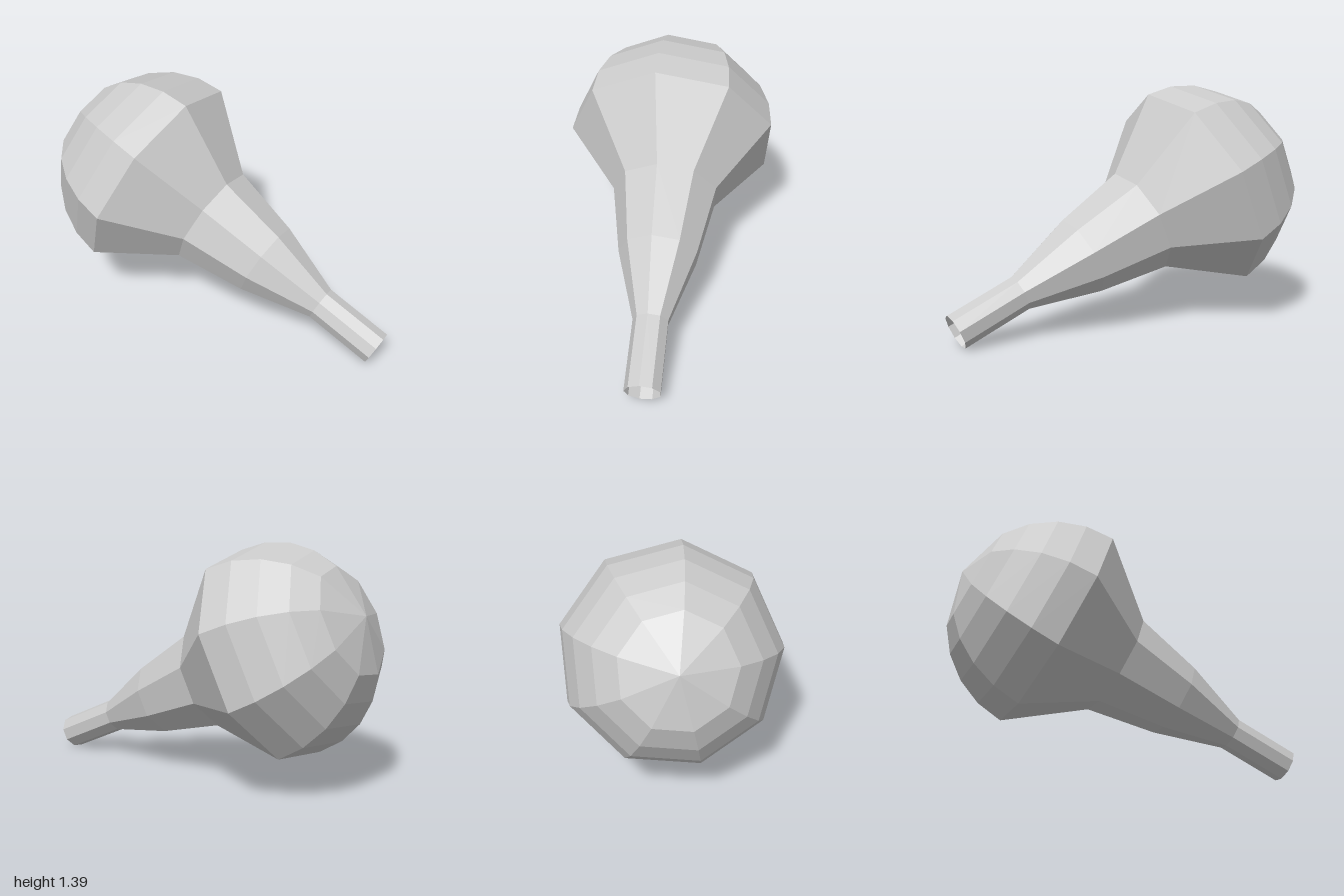
import * as THREE from 'three';

const SIDES = 9;
const BULB_RADIUS = 0.64;

// Nine-sided turned piece from [radius, height] pairs, with faceted normals
function turned(profile) {
  const points = profile.map(([r, h]) => new THREE.Vector2(r, h));
  const geometry = new THREE.LatheGeometry(points, SIDES).toNonIndexed();
  geometry.computeVertexNormals();
  return geometry;
}

export function createModel() {
  const model = new THREE.Group();
  model.name = 'bulbWithNeck';
  const material = new THREE.MeshStandardMaterial({
    color: 0xcccccc, flatShading: true, side: THREE.DoubleSide,
  });

  // The axis leans forward and down; one corner of each ring points along "spoke"
  const axis = new THREE.Vector3(0.484, -0.398, 0.781).normalize();
  const spoke = new THREE.Vector3(0.063, 0.582, 0.257);
  spoke.addScaledVector(axis, -spoke.dot(axis)).normalize();
  const side = new THREE.Vector3().crossVectors(axis, spoke);
  const placement = new THREE.Matrix4().makeBasis(side, axis, spoke)
    .setPosition(-0.143, 0.768, -0.367);

  // Rounded back: rings every 15 degrees, ending in a shallow cone at the pole
  const dome = [90, 60, 45, 30, 15, 0].map((deg) => {
    const a = THREE.MathUtils.degToRad(deg);
    return [deg === 90 ? 0 : BULB_RADIUS * Math.cos(a), -BULB_RADIUS * Math.sin(a)];
  });

  // Shoulder tapering into a thin neck, open at the tip
  const neck = [[BULB_RADIUS, 0], [0.32, 0.42], [0.237, 0.845], [0.104, 1.265], [0.104, 1.68]];

  for (const [name, profile] of [['roundedBulb', dome], ['taperedNeck', neck]]) {
    const mesh = new THREE.Mesh(turned(profile).applyMatrix4(placement), material);
    mesh.name = name;
    model.add(mesh);
  }

  // Stand on the ground and centre
  const box = new THREE.Box3().setFromObject(model);
  const centre = box.getCenter(new THREE.Vector3());
  for (const mesh of model.children) mesh.geometry.translate(-centre.x, -box.min.y, -centre.z);
  return model;
}
